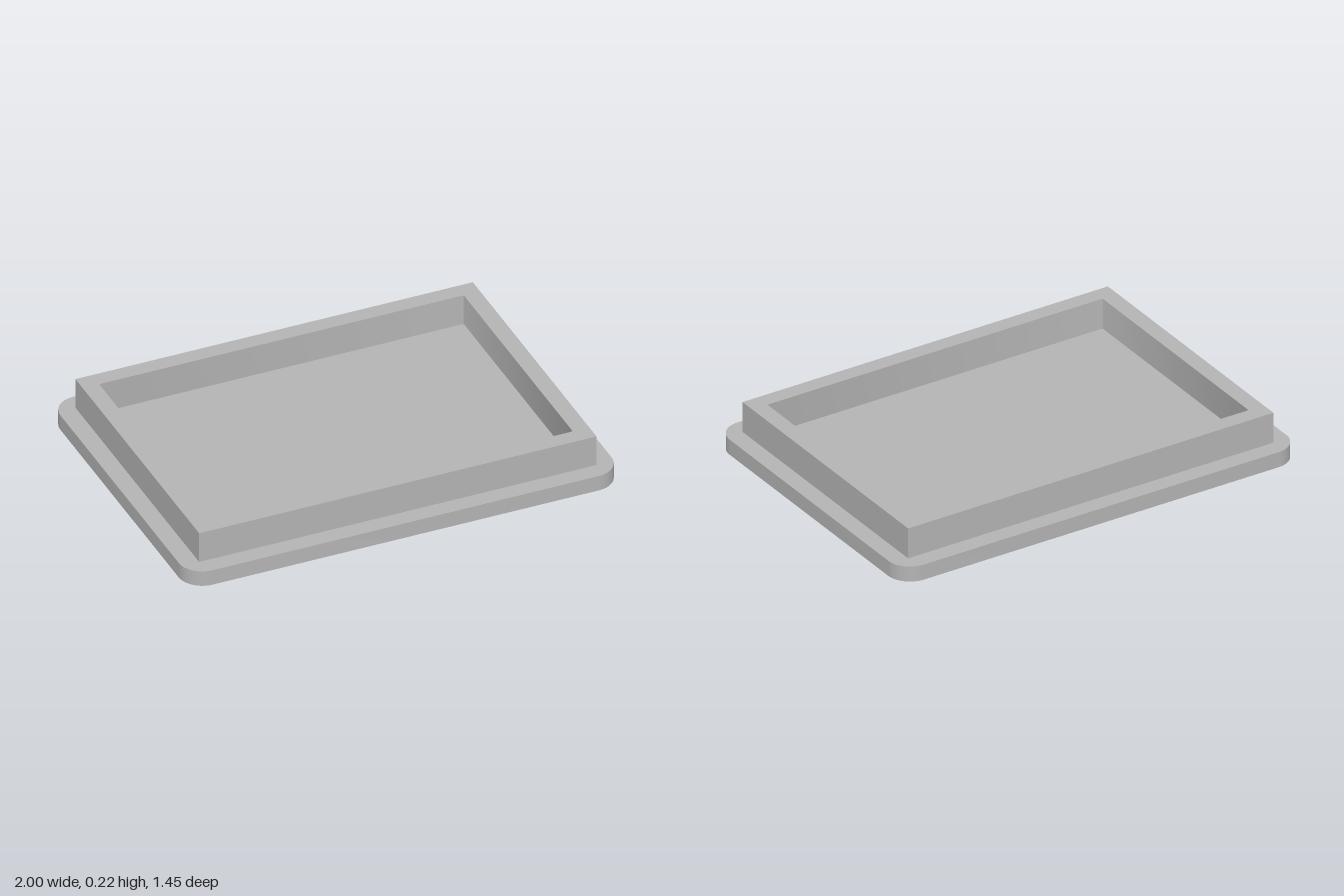
import * as THREE from 'three';
import { toCreasedNormals } from 'three/addons/utils/BufferGeometryUtils.js';

// Rectangle outline centred on the origin, with rounded corners of radius r
function outline(w, d, r, target = new THREE.Shape()) {
  const x = w / 2, y = d / 2;
  if (r === 0) {
    target.moveTo(-x, -y).lineTo(x, -y).lineTo(x, y).lineTo(-x, y).closePath();
    return target;
  }
  target.moveTo(-x + r, -y);
  target.absarc(x - r, -y + r, r, -Math.PI / 2, 0);
  target.absarc(x - r, y - r, r, 0, Math.PI / 2);
  target.absarc(-x + r, y - r, r, Math.PI / 2, Math.PI);
  target.absarc(-x + r, -y + r, r, Math.PI, Math.PI * 1.5);
  return target;
}

// Extrudes a plan shape upwards from height y
function slab(name, shape, y, height, material) {
  const geometry = new THREE.ExtrudeGeometry(shape, { depth: height, bevelEnabled: false, curveSegments: 12 });
  geometry.rotateX(-Math.PI / 2);
  geometry.translate(0, y, 0);
  const mesh = new THREE.Mesh(toCreasedNormals(geometry, 0.6), material);
  mesh.name = name;
  return mesh;
}

export function createModel() {
  const group = new THREE.Group();
  group.name = 'lid';
  const grey = new THREE.MeshStandardMaterial({ color: 0xb4b4b4 });
  grey.name = 'grey';

  const plateHeight = 0.073, totalHeight = 0.218;

  // Flat cover plate with rounded corners
  group.add(slab('coverPlate', outline(2, 1.454, 0.109), 0, plateHeight, grey));

  // Raised rim, open in the middle
  const rim = outline(1.836, 1.292, 0);
  rim.holes.push(outline(1.684, 1.14, 0.008, new THREE.Path()));
  group.add(slab('raisedRim', rim, plateHeight, totalHeight - plateHeight, grey));

  return group;
}
